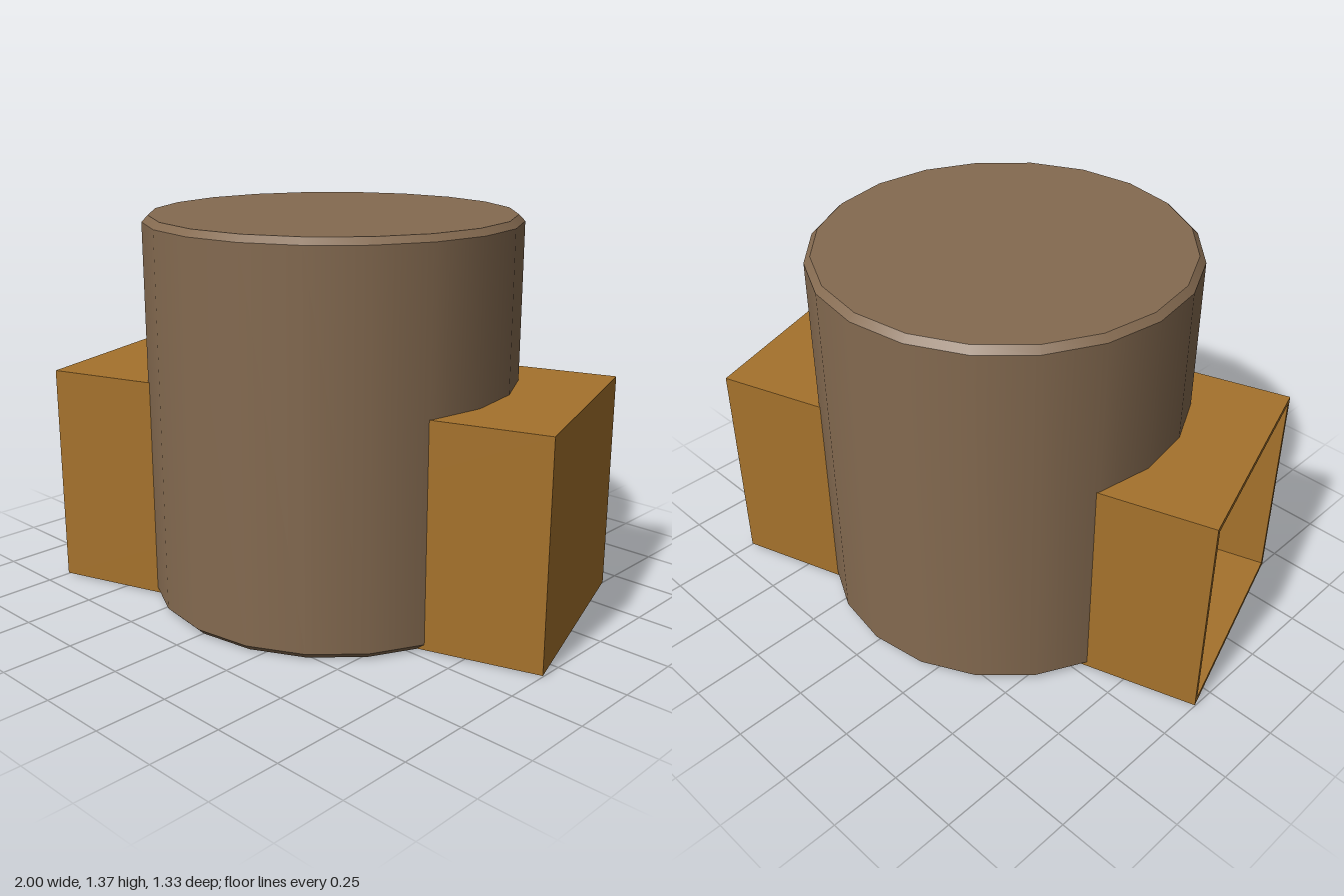
import * as THREE from 'three';

export function createModel() {
  const model = new THREE.Group();
  const brown = new THREE.MeshStandardMaterial({ name: 'brown', color: 0x846a50 });
  const amber = new THREE.MeshStandardMaterial({ name: 'amber', color: 0xa5722c });

  const add = (parent, name, geometry, material) => {
    const mesh = new THREE.Mesh(geometry, material);
    mesh.name = name;
    parent.add(mesh);
    return mesh;
  };

  // Upright drum with small bevels; doubled points keep the caps crisp
  const radius = 0.655, height = 1.37, bevel = 0.022;
  const profile = [
    [0, 0], [radius - bevel, 0], [radius - bevel, 0], [radius, bevel], [radius, bevel],
    [radius, height - bevel], [radius, height - bevel],
    [radius - bevel, height], [radius - bevel, height], [0, height],
  ].map(([x, y]) => new THREE.Vector2(x, y));
  add(model, 'drum', new THREE.LatheGeometry(profile, 20), brown);

  // Square duct through the drum, turned about the vertical axis
  const duct = new THREE.Group();
  duct.name = 'duct';
  duct.position.y = 0.398;
  duct.rotation.y = 0.32;
  model.add(duct);

  const length = 1.844, size = 0.79, wall = 0.02;
  const square = (path, h) => path.moveTo(-h, -h).lineTo(h, -h).lineTo(h, h).lineTo(-h, h).closePath();
  const section = new THREE.Shape();
  square(section, size / 2);
  const hole = new THREE.Path();
  square(hole, size / 2 - wall);
  section.holes.push(hole);
  const walls = new THREE.ExtrudeGeometry(section, { depth: length, bevelEnabled: false });
  walls.translate(0, 0, -length / 2).rotateY(Math.PI / 2);
  add(duct, 'ductWalls', walls, amber);

  // Closed left end; the right end stays open
  const inner = size - 2 * wall;
  const end = add(duct, 'ductEnd', new THREE.BoxGeometry(wall, inner, inner), amber);
  end.position.x = length / 2 - wall / 2;

  return model;
}
